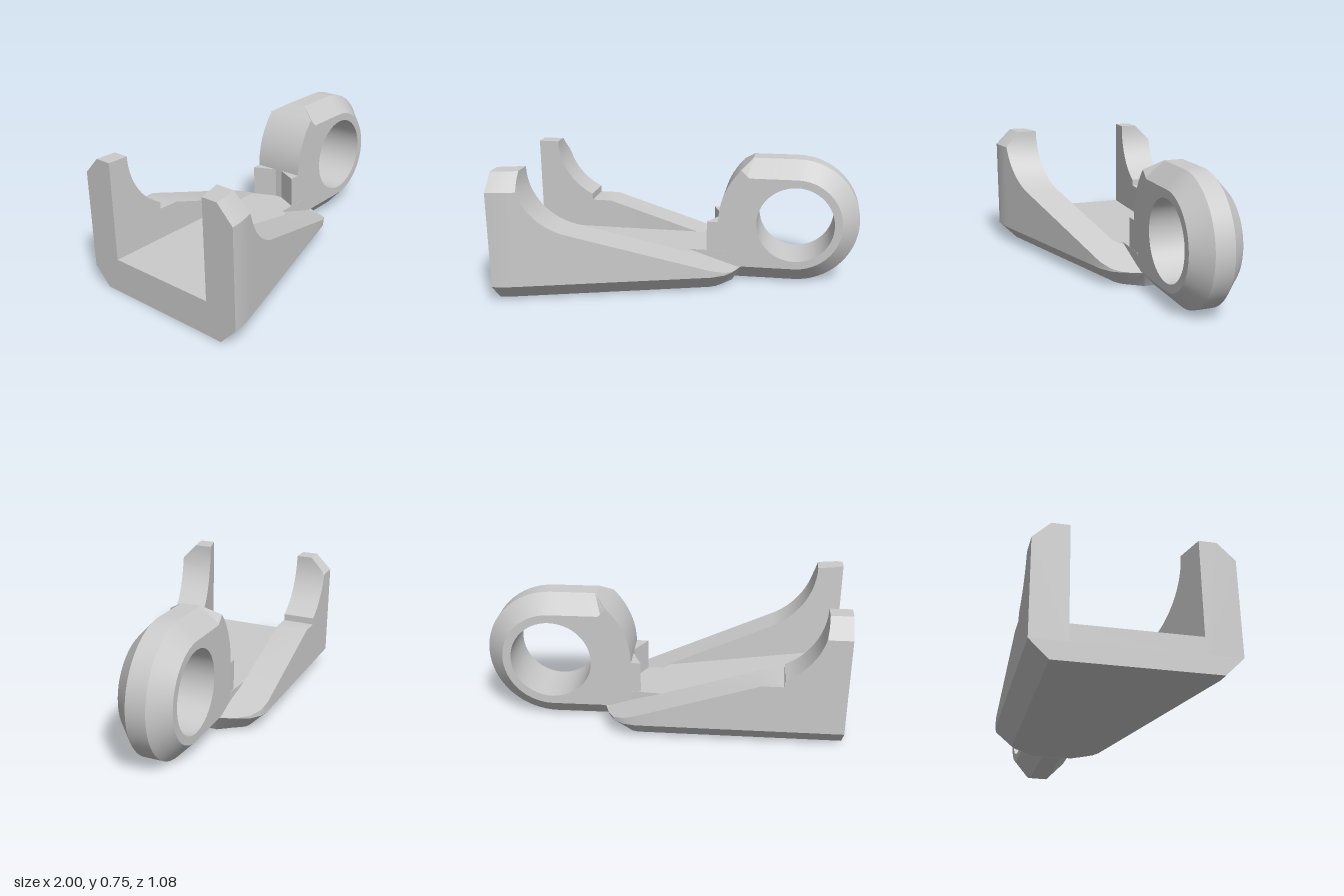
import * as THREE from 'three';
import { toCreasedNormals } from 'three/addons/utils/BufferGeometryUtils.js';

const material = new THREE.MeshStandardMaterial({ color: 0xcccccc });

// Skin a list of equal-length point loops; either capped or closed on itself.
function loft(loops, closed = false) {
  const pos = [];
  const tri = (a, b, c) => pos.push(...a, ...b, ...c);
  const n = loops[0].length;
  const last = closed ? loops.length : loops.length - 1;
  for (let i = 0; i < last; i++) {
    const p = loops[i], q = loops[(i + 1) % loops.length];
    for (let j = 0; j < n; j++) {
      const k = (j + 1) % n;
      tri(p[j], p[k], q[k]);
      tri(p[j], q[k], q[j]);
    }
  }
  if (!closed) {
    const a = loops[0], b = loops[loops.length - 1];
    for (let j = 1; j < n - 1; j++) {
      tri(a[0], a[j + 1], a[j]);
      tri(b[0], b[j], b[j + 1]);
    }
  }
  // Turn the faces outwards if the enclosed volume is negative.
  const v = (i) => new THREE.Vector3().fromArray(pos, i);
  let volume = 0;
  for (let i = 0; i < pos.length; i += 9) volume += v(i).dot(v(i + 3).cross(v(i + 6)));
  if (volume < 0) {
    for (let i = 0; i < pos.length; i += 9) {
      for (let c = 0; c < 3; c++) {
        [pos[i + 3 + c], pos[i + 6 + c]] = [pos[i + 6 + c], pos[i + 3 + c]];
      }
    }
  }
  const g = new THREE.BufferGeometry();
  g.setAttribute('position', new THREE.Float32BufferAttribute(pos, 3));
  return toCreasedNormals(g, 0.45);
}

// Upright prism over a plan outline of [x, z] points.
function prism(points, y0, y1) {
  const shape = new THREE.Shape(points.map(([x, z]) => new THREE.Vector2(x, -z)));
  return new THREE.ExtrudeGeometry(shape, { depth: y1 - y0, bevelEnabled: false })
    .rotateX(-Math.PI / 2).translate(0, y0, 0);
}

// Linear interpolation through [x, value] points.
function sample(points, x) {
  for (let i = 1; i < points.length; i++) {
    const [x0, v0] = points[i - 1], [x1, v1] = points[i];
    if (x <= x1) return v0 + (v1 - v0) * (x - x0) / (x1 - x0);
  }
  return points[points.length - 1][1];
}

const frontEdge = [[-1, 0.535], [-0.95, 0.53], [-0.88, 0.512], [0.18, 0.165], [0.25, 0.12], [0.285, 0.07], [0.33, -0.05]];
const rearEdge = [[-1, -0.5], [0.12, -0.54], [0.19, -0.53], [0.25, -0.49], [0.285, -0.43], [0.33, -0.31]];
const frontInner = [[-1, 0.345], [0, 0.025], [0.03, -0.03], [0.33, -0.05]];
const rearInner = [[-1, -0.31], [0, -0.34], [0.33, -0.31]];

// Side wall: a scooped, sloping profile with a chamfer along its high outer edge.
function wall(outer, inner, scoopX, endX, step) {
  const profile = [[-1, 0.745]];
  const startX = scoopX - 0.37;
  for (let i = 0; i <= 16; i++) {
    const x = startX + (endX - startX) * (1 - Math.cos(i / 16 * Math.PI / 2));
    profile.push([x, 0.745 - Math.sqrt(Math.max(0, 0.37 ** 2 - (x - scoopX) ** 2))]);
  }
  profile.push(...step, [0.3, 0.1]);
  const xs = [...profile, ...outer, ...inner].map((p) => p[0]).filter((x) => x <= 0.3);
  const stations = [...new Set(xs)].sort((a, b) => a - b);
  return loft(stations.map((x) => {
    const h = sample(profile, x), o = sample(outer, x), i = sample(inner, x);
    const cut = Math.max(0, h - 0.65) * Math.sign(o);
    return [[x, 0.08, i], [x, 0.1, o], [x, Math.min(h, 0.65), o], [x, h, o - cut], [x, h, i]];
  }));
}

// Bored lug: chamfered round eye with a plain curved shoulder towards the base.
function lugGeometry() {
  const cx = 0.63, cy = 0.3725;
  const pairs = [[0.18, 0.1, 0.18, 0.1], [0.28, 0, 0.34, 0.1]]; // mid outline, face outline
  for (let i = 0; i <= 32; i++) {
    const a = -Math.PI / 2 + i / 32 * Math.PI, c = Math.cos(a), s = Math.sin(a);
    pairs.push([cx + 0.3725 * c, cy + 0.3725 * s, cx + 0.2725 * c, cy + 0.2725 * s]);
  }
  pairs.push([0.38, 0.745, 0.34, 0.645], [0.375, 0.745, 0.305, 0.687]);
  for (let i = 0; i <= 12; i++) {
    const a = 2.36 + i / 12 * (Math.PI - 2.36);
    const x = cx + 0.45 * Math.cos(a), y = cy + 0.45 * Math.sin(a);
    pairs.push([x, y, x, y]);
  }
  // Split long edges so that the bore stays round.
  const fine = [];
  pairs.forEach((p, i) => {
    const q = pairs[(i + 1) % pairs.length];
    const n = Math.max(1, Math.ceil(Math.hypot(q[2] - p[2], q[3] - p[3]) / 0.05));
    for (let k = 0; k < n; k++) fine.push(p.map((v, c) => v + (q[c] - v) * k / n));
  });
  const mid = (z) => fine.map((p) => [p[0], p[1], z]);
  const face = (z) => fine.map((p) => [p[2], p[3], z]);
  const bore = (z) => fine.map((p) => {
    const a = Math.atan2(p[3] - cy, p[2] - cx);
    return [cx + 0.226 * Math.cos(a), cy + 0.226 * Math.sin(a), z];
  });
  // The shoulder shares both outlines, so it stays at full width.
  return loft([face(0.15), mid(0.055), mid(-0.055), face(-0.15), bore(-0.15), bore(0.15)], true);
}

export function createModel() {
  const group = new THREE.Group();
  const add = (name, geometry) => {
    const mesh = new THREE.Mesh(geometry, material);
    mesh.name = name;
    group.add(mesh);
    return mesh;
  };

  // Tapered base with a chamfered underside
  const rim = [...frontEdge, ...[...rearEdge].reverse()];
  const sole = [[-1, 0.435], [-0.95, 0.43], [-0.9, 0.414], [0.15, 0.07], [0.19, 0.045], [0.21, 0.02], [0.27, -0.07],
    [0.27, -0.3], [0.2, -0.38], [0.18, -0.41], [0.155, -0.432], [0.12, -0.44], [-1, -0.4]];
  add('base', loft([sole.map(([x, z]) => [x, 0, z]), rim.map(([x, z]) => [x, 0.1, z])]));

  // Raised floor between the walls
  add('floor', prism([[-1, 0.345], [0, 0.025], [0.03, -0.025], [0.25, -0.035], [0.25, -0.33], [0, -0.34], [-1, -0.31]], 0.08, 0.195));

  add('frontWall', wall(frontEdge, frontInner, -0.48, -0.6, []));
  add('rearWall', wall(rearEdge, rearInner, -0.51, -0.67, [[-0.669, 0.372], [-0.55, 0.372]]));

  // Notched block joining the lug to the floor
  add('lugBlock', prism([[0.12, -0.03], [0.19, -0.18], [0.12, -0.33], [0.25, -0.336], [0.25, -0.036]], 0.1, 0.372));

  const lug = add('lug', lugGeometry());
  lug.rotation.y = 0.045;
  lug.position.z = -0.175;
  return group;
}
